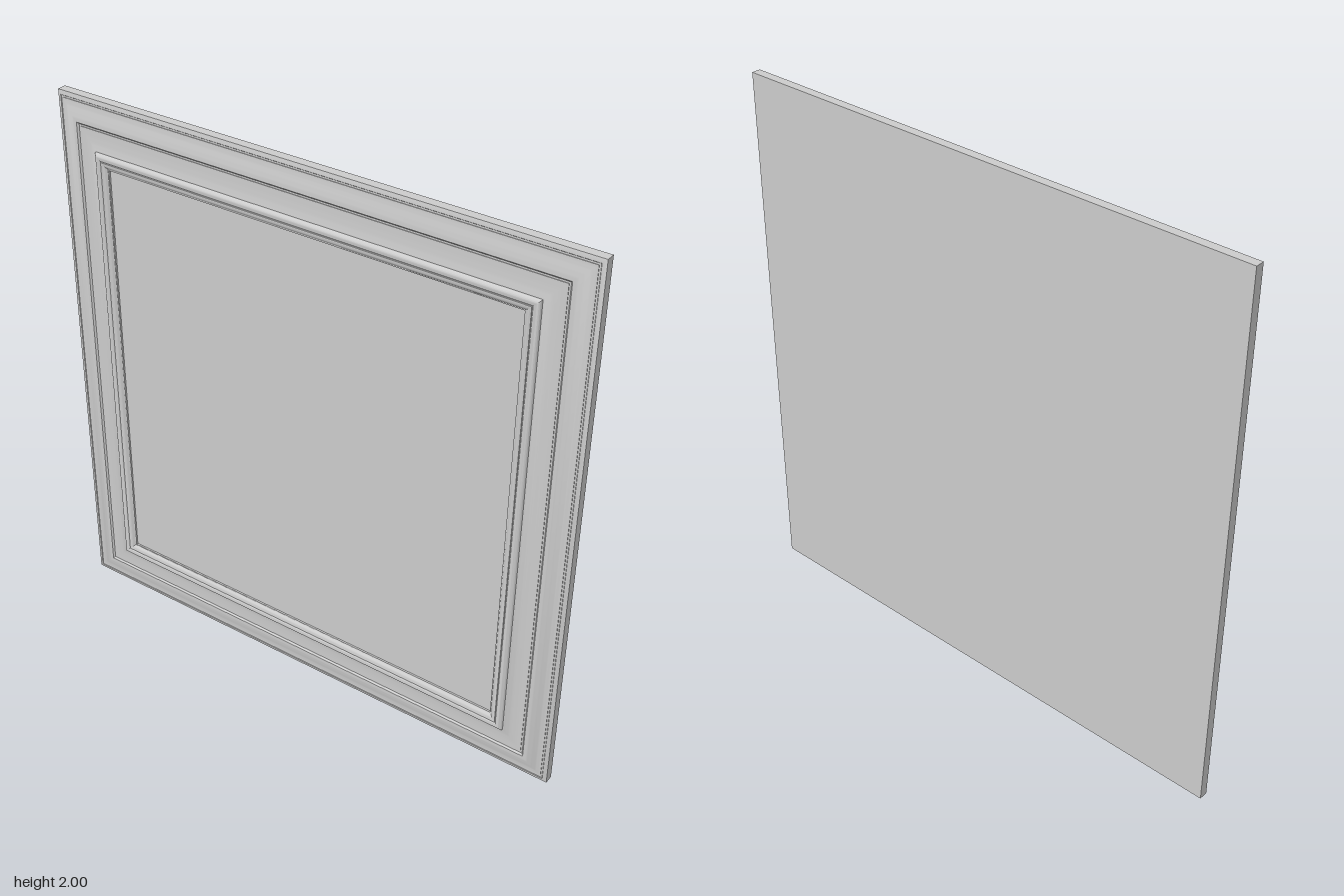
import * as THREE from 'three';
import { toCreasedNormals } from 'three/addons/utils/BufferGeometryUtils.js';

const material = new THREE.MeshStandardMaterial({ color: 0xcccccc });

// Smooth a few [half-size, depth] points into a curved stretch of profile
function curve(points, steps = 8) {
  const path = new THREE.SplineCurve(points.map(([r, z]) => new THREE.Vector2(r, z)));
  return path.getPoints(steps).map((p) => [p.x, p.y]);
}

// Mitred square frame: a profile of [half-size, z], from outside to inside, on four sides
function mitredFrame(name, profile) {
  const positions = [];
  for (let side = 0; side < 4; side++) {
    const angle = (side * Math.PI) / 2;
    const c = Math.round(Math.cos(angle));
    const s = Math.round(Math.sin(angle));
    const put = (x, y, z) => positions.push(x * c - y * s, x * s + y * c, z);
    for (let i = 0; i < profile.length - 1; i++) {
      const [r, z] = profile[i];
      const [q, w] = profile[i + 1];
      put(r, r, z); put(-r, r, z); put(-q, q, w);
      put(r, r, z); put(-q, q, w); put(q, q, w);
    }
  }
  const geometry = new THREE.BufferGeometry();
  geometry.setAttribute('position', new THREE.Float32BufferAttribute(positions, 3));
  const mesh = new THREE.Mesh(toCreasedNormals(geometry, 0.6), material);
  mesh.name = name;
  mesh.position.y = 1;
  return mesh;
}

function addBox(group, name, size, back, front) {
  const mesh = new THREE.Mesh(new THREE.BoxGeometry(size, size, front - back), material);
  mesh.name = name;
  mesh.position.set(0, 1, (back + front) / 2);
  group.add(mesh);
}

export function createModel() {
  const group = new THREE.Group();
  group.name = 'framedPanel';

  // Flat board behind everything
  addBox(group, 'backBoard', 2, -0.035, -0.004);

  // Outer moulding: eased edge, ogee, quirk, then a cove up to the inner bead
  group.add(mitredFrame('outerMoulding', [
    [1, -0.004], [1, -0.002],
    [0.986, 0.003], [0.984, 0.001], [0.978, 0.001],
    ...curve([[0.978, 0.003], [0.962, 0.005], [0.945, 0.011], [0.93, 0.016], [0.912, 0.017]], 12),
    [0.906, 0.011], [0.9, 0.011],
    ...curve([[0.9, 0.013], [0.875, 0.0135], [0.85, 0.016], [0.832, 0.021]], 10),
    [0.83, 0.021],
  ]));

  // Inner bead with a stepped, sloping sight edge
  group.add(mitredFrame('innerBead', [
    [0.83, 0.018], [0.83, 0.026],
    ...curve([[0.828, 0.029], [0.822, 0.034], [0.812, 0.034], [0.806, 0.03]], 8),
    [0.804, 0.03],
    ...curve([[0.803, 0.033], [0.797, 0.033], [0.788, 0.028], [0.782, 0.023]], 8),
    [0.778, 0.023], [0.776, 0.016],
  ]));

  // Recessed flat centre panel
  addBox(group, 'centrePanel', 1.556, -0.004, 0.018);

  return group;
}
